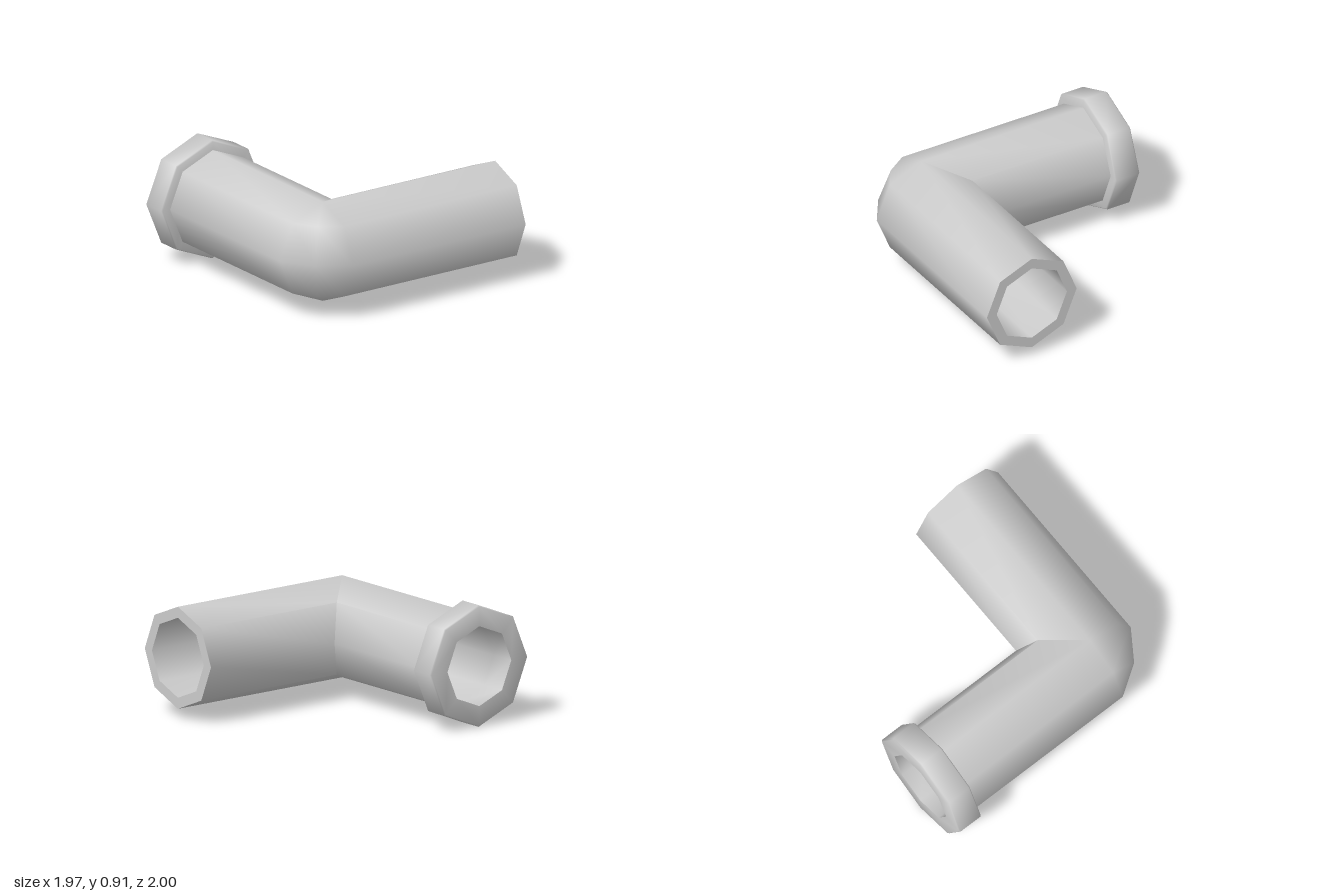
import * as THREE from 'three';
import { toCreasedNormals } from 'three/addons/utils/BufferGeometryUtils.js';

const SIDES = 8, OUTER = 0.383, INNER = 0.3;
const CY = 0.458, CX = 0.602, CZ = 0.543; // pipe centre lines meet at (CX, CY, CZ)
const START_X = -0.79, END_Z = -1;
const MID = 0.6; // how far the middle of the bend reaches along x and z
const CREASE = Math.PI / 3;

// Cross-sections of one wall: straight arm, bend (mitred inside, swept outside), straight arm
function wallSections(r) {
  const rules = [
    (d) => [START_X, CZ + d],
    (d) => (d > 0 ? [CX, CZ + d] : [CX + d, CZ + d]),
    (d) => (d > 0 ? [CX + d * MID, CZ + d * MID] : [CX + d, CZ + d]),
    (d) => (d > 0 ? [CX + d, CZ] : [CX + d, CZ + d]),
    (d) => [CX + d, END_Z],
  ];
  return rules.map((rule) => Array.from({ length: SIDES }, (_, j) => {
    const a = (j / SIDES) * Math.PI * 2;
    const c = Math.cos(a) * r;
    const [x, z] = rule(Math.abs(c) < 1e-6 ? 0 : c);
    return new THREE.Vector3(x, CY + Math.sin(a) * r, z);
  }));
}

// Joins the sections in a closed ring, leaving out collapsed triangles
function skin(sections) {
  const pos = [];
  const tri = (a, b, c) => {
    if (new THREE.Triangle(a, b, c).getArea() < 1e-6) return;
    for (const p of [a, b, c]) pos.push(p.x, p.y, p.z);
  };
  sections.forEach((s, i) => {
    const n = sections[(i + 1) % sections.length];
    for (let j = 0; j < SIDES; j++) {
      const k = (j + 1) % SIDES;
      tri(s[j], n[j], s[k]);
      tri(n[j], n[k], s[k]);
    }
  });
  const g = new THREE.BufferGeometry();
  g.setAttribute('position', new THREE.Float32BufferAttribute(pos, 3));
  return toCreasedNormals(g, CREASE);
}

export function createModel() {
  const group = new THREE.Group();
  group.name = 'pipeElbow';
  const material = new THREE.MeshStandardMaterial({ color: 0xcccccc });

  // Hollow elbow: outer wall out, inner wall back
  const pipe = new THREE.Mesh(
    skin([...wallSections(OUTER), ...wallSections(INNER).reverse()]), material);
  pipe.name = 'elbowPipe';
  group.add(pipe);

  // Collar ring with slightly bevelled rims
  const R = 0.457, L = 0.205, b = 0.01;
  const profile = [
    [INNER, 0], [R - b, 0], [R, b], [R, L - b], [R - b, L], [INNER, L], [INNER, 0],
  ].map(([x, y]) => new THREE.Vector2(x, y));
  const ring = new THREE.LatheGeometry(profile, SIDES);
  ring.rotateZ(Math.PI / 2);
  const collar = new THREE.Mesh(toCreasedNormals(ring, CREASE), material);
  collar.name = 'endCollar';
  collar.position.set(-0.78, CY, CZ);
  group.add(collar);

  return group;
}
